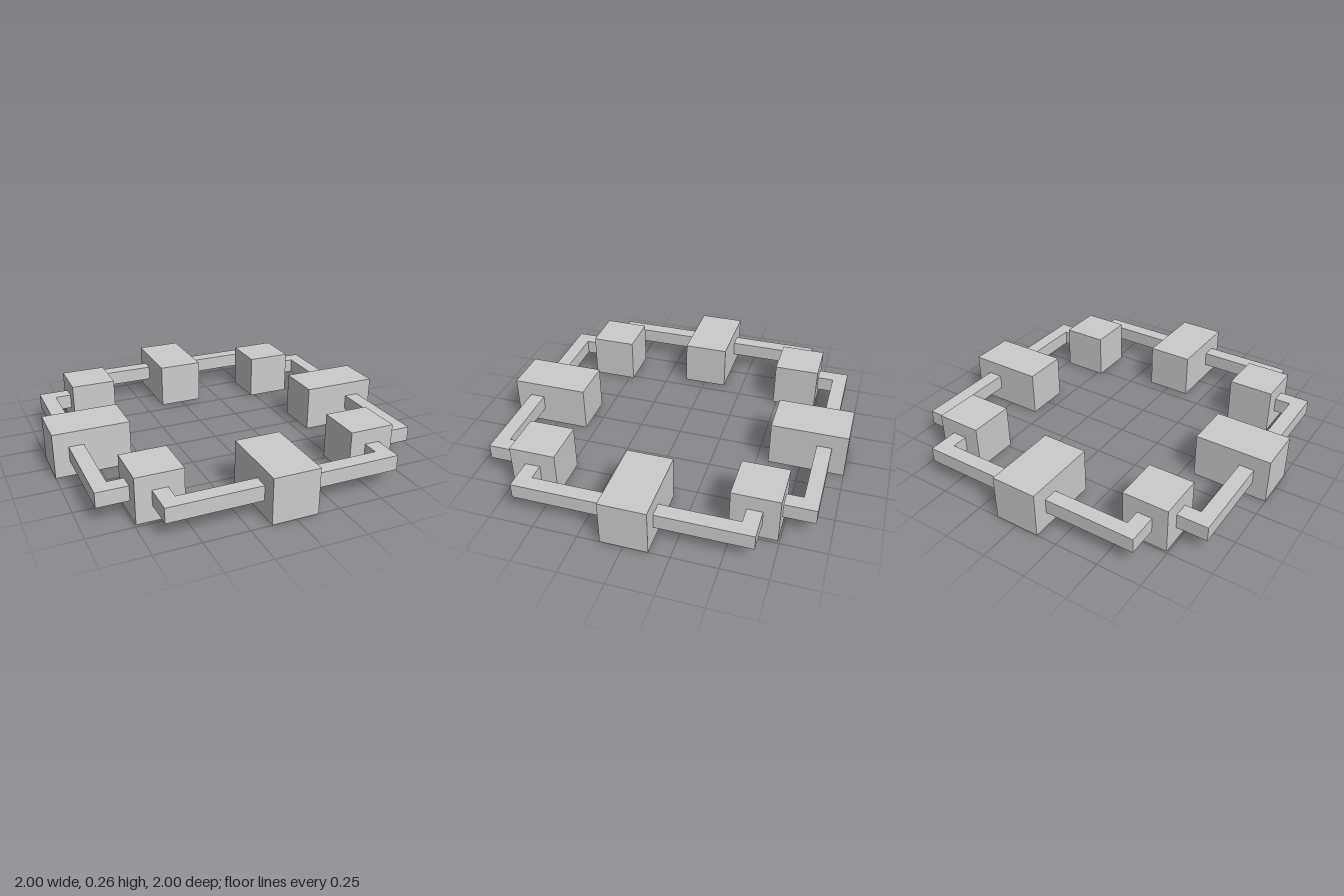
import * as THREE from 'three';

const SIZE = 0.26;      // block width and height
const OFF = -0.004;     // ring centre, offset slightly in x and z
const BAR_Y = 0.09, BAR_H = 0.085;

export function createModel() {
  const model = new THREE.Group();
  model.name = 'blockRing';
  const material = new THREE.MeshStandardMaterial({ color: 0xcccccc, flatShading: true });

  const add = (name, geometry, x = 0, y = 0, z = 0) => {
    const mesh = new THREE.Mesh(geometry, material);
    mesh.name = name;
    mesh.position.set(x, y, z);
    model.add(mesh);
  };

  // Long blocks in the middle of each side, reaching out to +-1
  for (const s of [-1, 1]) {
    const inner = s * 0.566 + OFF * 0.75;
    const length = Math.abs(s - inner);
    const mid = (s + inner) / 2;
    add(s > 0 ? 'leftBlock' : 'rightBlock', new THREE.BoxGeometry(length, SIZE, SIZE), mid, SIZE / 2, OFF);
    add(s > 0 ? 'frontBlock' : 'backBlock', new THREE.BoxGeometry(SIZE, SIZE, length), OFF, SIZE / 2, mid);
  }

  // L-shaped bar outline in plan: runs along a side, then turns in to the corner cube
  const outline = [[0.125, 0.829], [0.566, 0.829], [0.566, 0.73], [0.651, 0.73], [0.651, 0.913], [0.125, 0.913]];
  const barGeometry = (sx, sz, swap) => {
    const points = outline.map(([a, b]) => {
      const [x, z] = swap ? [b, a] : [a, b];
      return new THREE.Vector2(sx * x, -sz * z);
    });
    const geometry = new THREE.ExtrudeGeometry(new THREE.Shape(points), { depth: BAR_H, bevelEnabled: false });
    return geometry.rotateX(-Math.PI / 2);
  };

  // Corner cubes, each with two linking bars
  for (const sx of [-1, 1]) {
    for (const sz of [-1, 1]) {
      const corner = (sz > 0 ? 'front' : 'back') + (sx > 0 ? 'Left' : 'Right');
      add(corner + 'Cube', new THREE.BoxGeometry(SIZE, SIZE, SIZE), sx * 0.607 + OFF, SIZE / 2, sz * 0.607 + OFF);
      add(corner + 'EndBar', barGeometry(sx, sz, false), OFF / 2, BAR_Y, OFF / 2);
      add(corner + 'SideBar', barGeometry(sx, sz, true), OFF / 2, BAR_Y, OFF / 2);
    }
  }
  return model;
}
